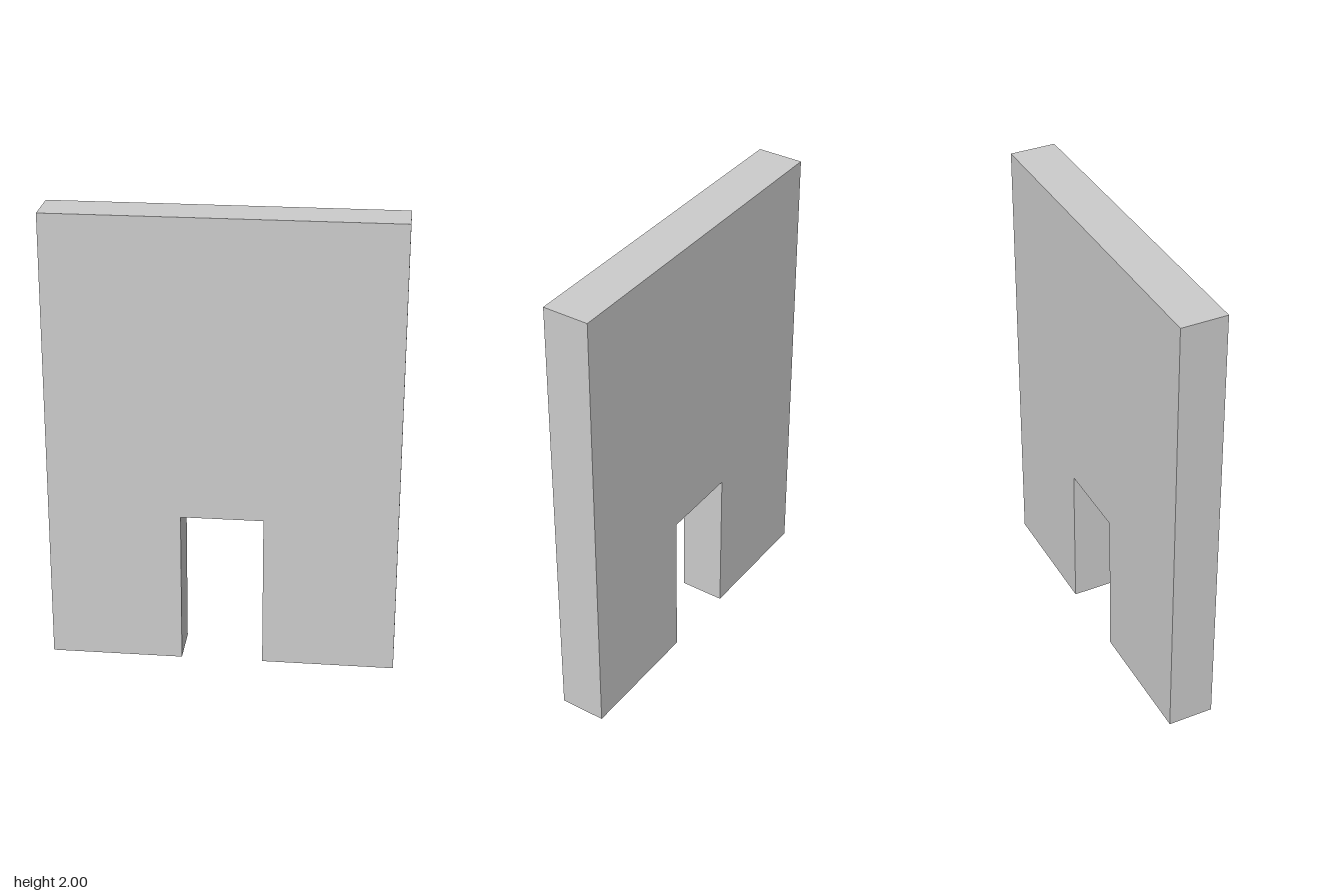
import * as THREE from 'three';

const WIDTH = 1.5, HEIGHT = 2, DEPTH = 0.2;
const DOOR_WIDTH = 0.355, DOOR_HEIGHT = 0.68;

export function createModel() {
  const group = new THREE.Group();
  group.name = 'wallWithDoorway';

  // Wall outline with a doorway notched into the bottom edge
  const w = WIDTH / 2, d = DOOR_WIDTH / 2;
  const outline = new THREE.Shape([
    [-w, 0], [-d, 0], [-d, DOOR_HEIGHT], [d, DOOR_HEIGHT],
    [d, 0], [w, 0], [w, HEIGHT], [-w, HEIGHT],
  ].map(([x, y]) => new THREE.Vector2(x, y)));

  // Slab, centred front to back
  const geometry = new THREE.ExtrudeGeometry(outline, { depth: DEPTH, bevelEnabled: false });
  geometry.translate(0, 0, -DEPTH / 2);

  const wall = new THREE.Mesh(
    geometry,
    new THREE.MeshStandardMaterial({ color: 0xcccccc, flatShading: true }),
  );
  wall.name = 'wall';
  group.add(wall);
  return group;
}
